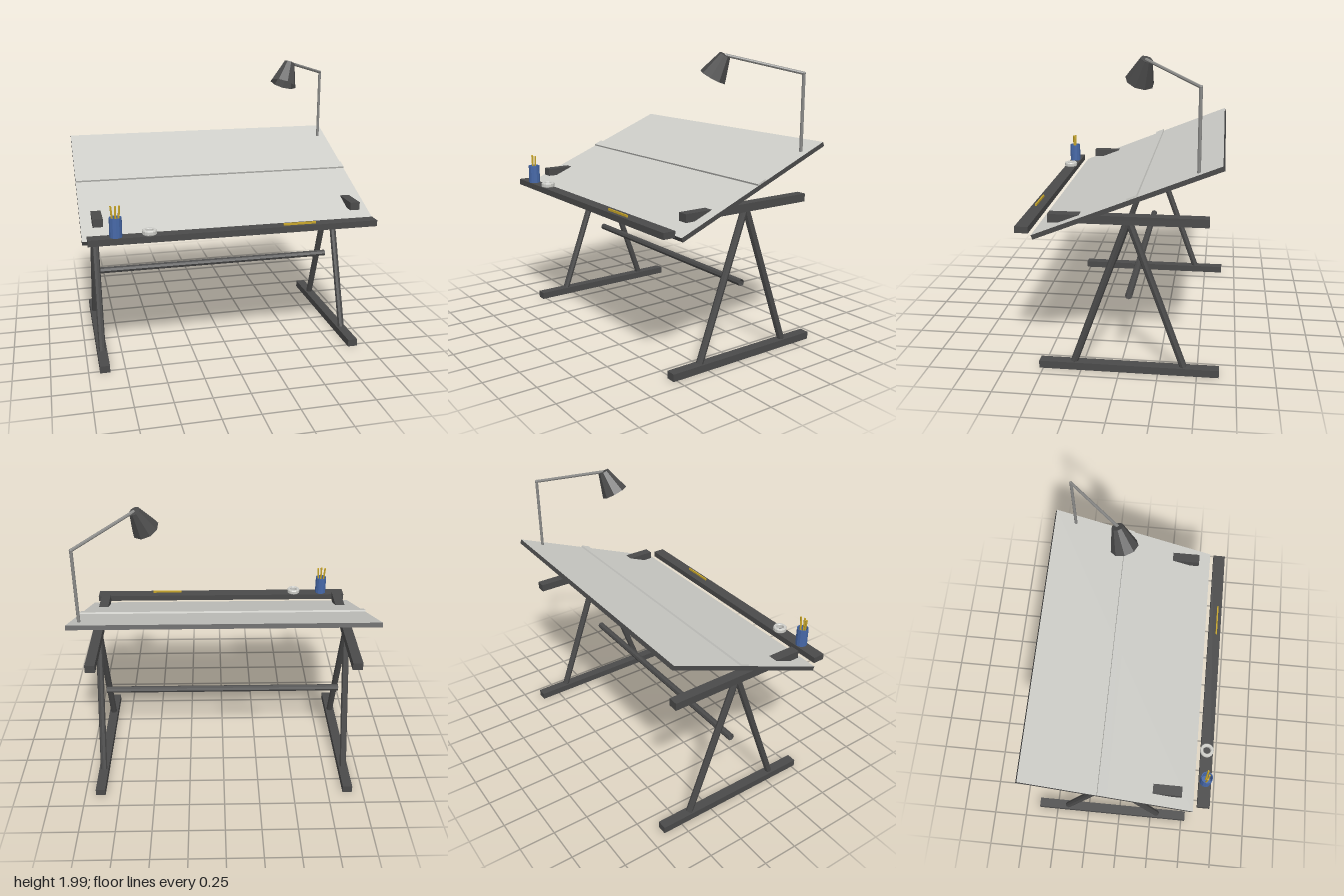
import * as THREE from 'three';

const mat = (name, color, side = THREE.FrontSide) => {
  const m = new THREE.MeshStandardMaterial({ color, side });
  m.name = name;
  return m;
};

export function createModel() {
  const model = new THREE.Group();
  model.name = 'draftingTable';

  const frame = mat('dark frame', 0x4a4a4a, THREE.DoubleSide);
  const surface = mat('pale grey surface', 0xcdcdc8);
  const metal = mat('grey metal', 0x8a8a88);
  const blue = mat('blue cup', 0x4668a8, THREE.DoubleSide);
  const yellow = mat('yellow wood', 0xc8a62a);

  const add = (name, geo, material, x = 0, y = 0, z = 0, parent = model) => {
    const mesh = new THREE.Mesh(geo, material);
    mesh.name = name;
    mesh.position.set(x, y, z);
    parent.add(mesh);
    return mesh;
  };
  const box = (name, w, h, d, material, x, y, z, parent) =>
    add(name, new THREE.BoxGeometry(w, h, d), material, x, y, z, parent);

  // Straight round bar from a to b; the radius may change along its length
  const bar = (name, a, b, r, material, { sides = 8, rTop = r, open = false } = {}) => {
    const p = new THREE.Vector3(...a), q = new THREE.Vector3(...b);
    const dir = q.clone().sub(p);
    let geo = new THREE.CylinderGeometry(rTop, r, dir.length(), sides, 1, open);
    geo = geo.toNonIndexed();
    geo.computeVertexNormals();
    const mesh = add(name, geo, material);
    mesh.position.copy(p).add(q).multiplyScalar(0.5);
    mesh.quaternion.setFromUnitVectors(new THREE.Vector3(0, 1, 0), dir.normalize());
    return mesh;
  };

  // Two trestles: foot, A-shaped legs and top beam
  const midZ = -0.058;
  for (const side of [-1, 1]) {
    const x = side * 0.89;
    box('foot', 0.068, 0.05, 1.168, frame, x, 0.025, midZ);
    box('topBeam', 0.068, 0.054, 1.0, frame, x, 1.032, midZ);
    for (const s of [-1, 1]) {
      bar('leg', [x, 0.05, midZ + s * 0.355], [x, 1.05, midZ - s * 0.006], 0.024, frame);
    }
  }
  bar('stretcher', [-0.87, 0.515, midZ], [0.87, 0.515, midZ], 0.024, frame, { open: true });

  // Tilted board with pale top face, and the straightedge lying across it
  const board = new THREE.Group();
  board.name = 'tiltedBoard';
  board.position.set(0, 1.163, -0.055);
  board.rotation.x = THREE.MathUtils.degToRad(22);
  model.add(board);
  box('drawingBoard', 2, 0.03, 1.25, [frame, frame, surface, frame, frame, frame], 0, 0, 0, board);
  box('straightedge', 2, 0.013, 0.066, surface, 0, 0.0215, -0.05, board);

  // Front tool tray
  const trayTop = 0.985;
  box('tray', 1.94, 0.042, 0.086, frame, 0, trayTop - 0.021, 0.597);

  // Pencil cup, open at the top, with fanned pencils
  const cup = [[0, 0], [0.041, 0], [0.041, 0.13], [0.036, 0.13], [0.036, 0.01], [0, 0.01]];
  const lathe = (pts, n) => {
    const g = new THREE.LatheGeometry(pts.map(p => new THREE.Vector2(...p)), n).toNonIndexed();
    g.computeVertexNormals();
    return g;
  };
  add('pencilCup', lathe(cup, 12), blue, -0.79, trayTop, 0.6);
  [-1, 0, 1].forEach(i => {
    const z = 0.604 + (i === 0 ? 0.006 : -0.003);
    bar('pencil', [-0.79 + i * 0.012, trayTop + 0.012, z], [-0.79 + i * 0.028, 1.19, z], 0.007, yellow, { sides: 6 });
  });

  // Roll of tape and a small ruler
  const roll = [[0.026, 0.004], [0.03, 0], [0.043, 0], [0.048, 0.006], [0.048, 0.027],
    [0.043, 0.034], [0.03, 0.034], [0.026, 0.029], [0.026, 0.004]];
  add('tapeRoll', lathe(roll, 16), surface, -0.575, trayTop, 0.595);
  box('ruler', 0.225, 0.014, 0.01, yellow, 0.428, trayTop + 0.007, 0.61);

  // Lamp: post, arm and tilted shade
  const elbow = [0.94, 1.86, -0.487];
  bar('lampPost', [0.94, 1.352, -0.487], elbow, 0.011, metal);
  bar('lampArm', elbow, [0.575, 1.972, -0.133], 0.011, metal);
  add('lampJoint', new THREE.SphereGeometry(0.012, 10, 8), metal, ...elbow);
  const top = [0.572, 1.972, -0.136], rim = [0.512, 1.828, -0.086];
  bar('lampShade', rim, top, 0.095, frame, { sides: 9, rTop: 0.04, open: true });
  const dir = new THREE.Vector3(...top).sub(new THREE.Vector3(...rim)).normalize();
  const cap = top.map((v, i) => v + dir.getComponent(i) * 0.002);
  bar('shadeCap', top, cap, 0.04, frame, { sides: 9 });

  return model;
}
